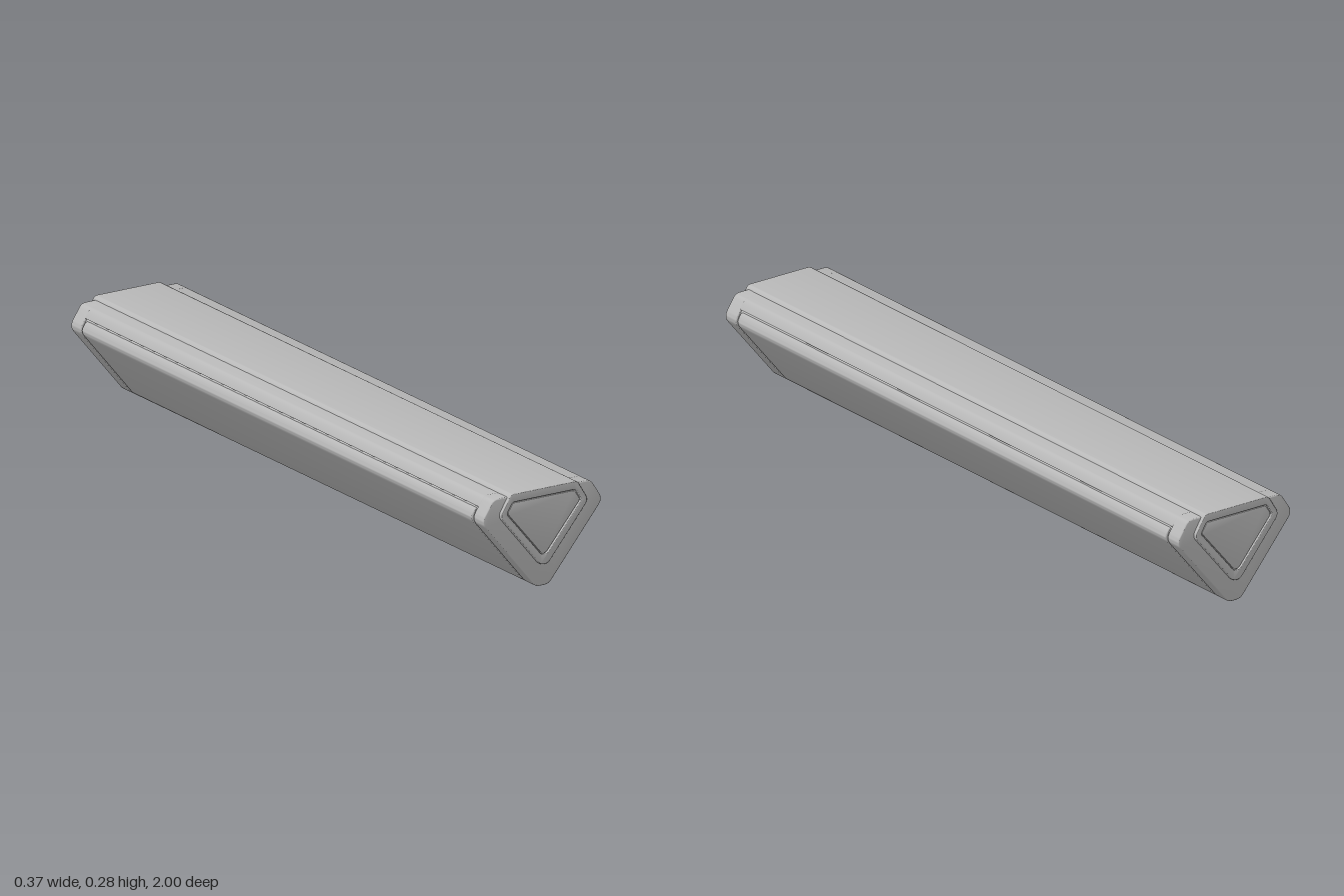
import * as THREE from 'three';
import { toCreasedNormals } from 'three/addons/utils/BufferGeometryUtils.js';

// Closed outline with rounded corners, from [x, y, radius] points.
function rounded(points, Type = THREE.Shape) {
  const path = new Type();
  const n = points.length;
  points.forEach(([x, y, r], i) => {
    const corner = new THREE.Vector2(x, y);
    const toward = (q) => {
      const d = new THREE.Vector2(q[0], q[1]).sub(corner);
      return d.setLength(Math.min(r, d.length() * 0.45)).add(corner);
    };
    const a = toward(points[(i + n - 1) % n]);
    const b = toward(points[(i + 1) % n]);
    if (i === 0) path.moveTo(a.x, a.y);
    else path.lineTo(a.x, a.y);
    path.quadraticCurveTo(x, y, b.x, b.y);
  });
  path.closePath();
  return path;
}

// Completes a right half profile (listed bottom to top) by mirroring it.
const mirrored = (half) => [...half, ...half.map(([x, y, r]) => [-x, y, r]).reverse()];

// Prism from z0 to z1 with softened ends that stay inside the outline.
function prism(shape, z0, z1, bevel) {
  const geometry = new THREE.ExtrudeGeometry(shape, {
    depth: z1 - z0 - 2 * bevel, curveSegments: 6,
    bevelEnabled: true, bevelThickness: bevel, bevelSize: bevel, bevelOffset: -bevel, bevelSegments: 3,
  });
  geometry.translate(0, 0, z0 + bevel);
  return toCreasedNormals(geometry, 0.6);
}

export function createModel() {
  const group = new THREE.Group();
  const grey = new THREE.MeshStandardMaterial({ color: 0xb8b8b8 });
  grey.name = 'grey casing';
  const add = (name, geometry) => {
    const mesh = new THREE.Mesh(geometry, grey);
    mesh.name = name;
    group.add(mesh);
    return mesh;
  };

  // Outer casing outline, and a slightly smaller one seen in the seams
  const casing = rounded(mirrored([[0.021, 0, 0.014], [0.192, 0.207, 0.02], [0.154, 0.266, 0.014]]));
  const inner = rounded(mirrored([[0.019, 0.005, 0.014], [0.186, 0.207, 0.02], [0.151, 0.261, 0.014]]));
  add('innerCasing', prism(inner, -0.96, 0.96, 0.002));

  // Wrapping lower cover and the rail above it, parted by a seam
  const cover = rounded(mirrored([[0.021, 0, 0.014], [0.192, 0.207, 0.02], [0.176, 0.232, 0.001]]));
  add('lowerCover', prism(cover, -0.936, 0.936, 0.003));
  const rail = rounded(mirrored([[0.172, 0.238, 0.001], [0.154, 0.266, 0.014]]));
  add('topRail', prism(rail, -0.945, 0.945, 0.001));

  // Raised spine, running the full length through the casing
  const spineHalf = [[0.012, 0.062, 0.012], [0.14, 0.217, 0.016], [0.105, 0.275, 0.01]];
  add('spine', prism(rounded(mirrored(spineHalf)), -0.994, 0.994, 0.004));

  // Matching caps, frames and inset plates on both ends
  const insetHalf = [[0.008, 0.09, 0.01], [0.118, 0.222, 0.008], [0.099, 0.252, 0.006]];
  const plateHalf = [[0.007, 0.093, 0.01], [0.115, 0.222, 0.008], [0.097, 0.249, 0.006]];
  const frame = rounded(mirrored(spineHalf));
  frame.holes.push(rounded(mirrored(insetHalf), THREE.Path));
  const cap = prism(casing, 0.942, 0.99, 0.003);
  const frameGeometry = new THREE.ExtrudeGeometry(rounded(mirrored(spineHalf)), { depth: 0.001, bevelEnabled: false });
  frameGeometry.dispose();
  const ring = prism(frame, 0.984, 1, 0.002);
  const plate = prism(rounded(mirrored(plateHalf)), 0.985, 0.998, 0.001);
  for (const [end, turn] of [['front', 0], ['back', Math.PI]]) {
    add(end + 'Cap', cap).rotation.y = turn;
    add(end + 'Frame', ring).rotation.y = turn;
    add(end + 'Plate', plate).rotation.y = turn;
  }
  return group;
}
